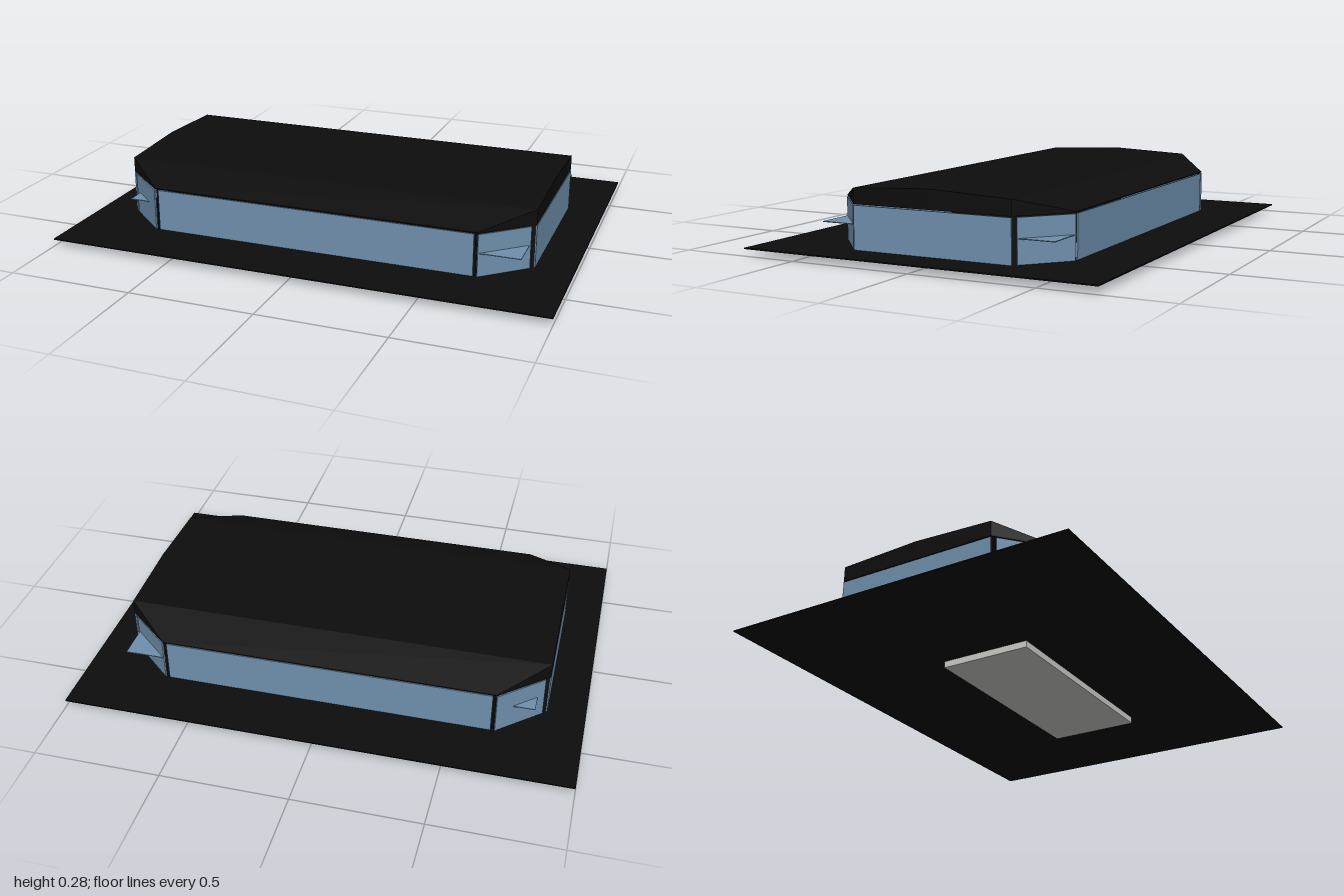
import * as THREE from 'three';

const mat = (name, color) => {
  const m = new THREE.MeshStandardMaterial({ color });
  m.name = name;
  return m;
};

export function createModel() {
  const black = mat('black', 0x0d0d0d);
  const blue = mat('wallBlue', 0x6f90ad);
  const grey = mat('lightGrey', 0xcdd0cb);
  const group = new THREE.Group();

  const add = (name, geometry, material, x = 0, y = 0, z = 0) => {
    const mesh = new THREE.Mesh(geometry, material);
    mesh.name = name;
    mesh.position.set(x, y, z);
    group.add(mesh);
    return mesh;
  };
  const box = (name, m, w, h, d, x, y, z) => add(name, new THREE.BoxGeometry(w, h, d), m, x, y, z);

  // Foundation block and the thin ground slab on it
  box('foundation', grey, 0.91, 0.028, 0.38, 0.085, 0.014, 0);
  box('groundSlab', black, 2, 0.005, 1.45, 0, 0.0295, 0);

  // Upright wall panel between two plan points
  const base = 0.032, top = 0.2;
  const wall = (name, x0, z0, x1, z1) => {
    const len = Math.hypot(x1 - x0, z1 - z0);
    const panel = box(name, blue, len, top - base, 0.006, (x0 + x1) / 2, (top + base) / 2, (z0 + z1) / 2);
    panel.rotation.y = -Math.atan2(z1 - z0, x1 - x0);
  };

  for (const s of [1, -1]) {
    wall('longWall', -0.652, s * 0.487, 0.652, s * 0.487);
    wall('endWall', s * 0.848, -0.33, s * 0.848, 0.33);
    for (const t of [1, -1]) {
      wall('cornerWall', s * 0.667, t * 0.488, s * 0.832, t * 0.342);
      // Dark posts in the narrow slits beside the long walls
      box('cornerPost', black, 0.008, top - base, 0.008, s * 0.659, (top + base) / 2, t * 0.478);
      // Horizontal triangular ledge poking through each corner wall
      const [cx, cz, ix, iz] = s > 0 ? [0.83, 0.487, 0.66, 0.345] : [0.81, 0.44, 0.715, 0.36];
      const pts = [[s * cx, t * iz], [s * cx, t * cz], [s * ix, t * cz]];
      const shape = new THREE.Shape(pts.map(([x, z]) => new THREE.Vector2(x, -z)));
      const ledge = new THREE.ExtrudeGeometry(shape, { depth: 0.003, bevelEnabled: false });
      ledge.rotateX(-Math.PI / 2);
      add('cornerLedge', ledge, blue, 0, 0.123, 0);
    }
  }

  // Faceted roof: cross-sections [z, half width, height] swept front to back
  const eave = 0.204;
  const rings = [[-0.49, 0.665, 0.208], [-0.33, 0.85, 0.265], [0, 0.85, 0.28], [0.33, 0.85, 0.265], [0.49, 0.665, 0.208]]
    .map(([z, w, h]) => [[-w, eave, z], [w, eave, z], [w, h, z], [-w, h, z]]);
  const pos = [];
  const quad = (a, b, c, d) => pos.push(...a, ...b, ...c, ...a, ...c, ...d);
  for (let i = 0; i < rings.length - 1; i++) {
    for (let j = 0; j < 4; j++) {
      const k = (j + 1) % 4;
      quad(rings[i][j], rings[i][k], rings[i + 1][k], rings[i + 1][j]);
    }
  }
  quad(...rings[rings.length - 1]);
  quad(...[...rings[0]].reverse());
  const roof = new THREE.BufferGeometry();
  roof.setAttribute('position', new THREE.Float32BufferAttribute(pos, 3));
  roof.computeVertexNormals();
  add('roof', roof, black);

  return group;
}
